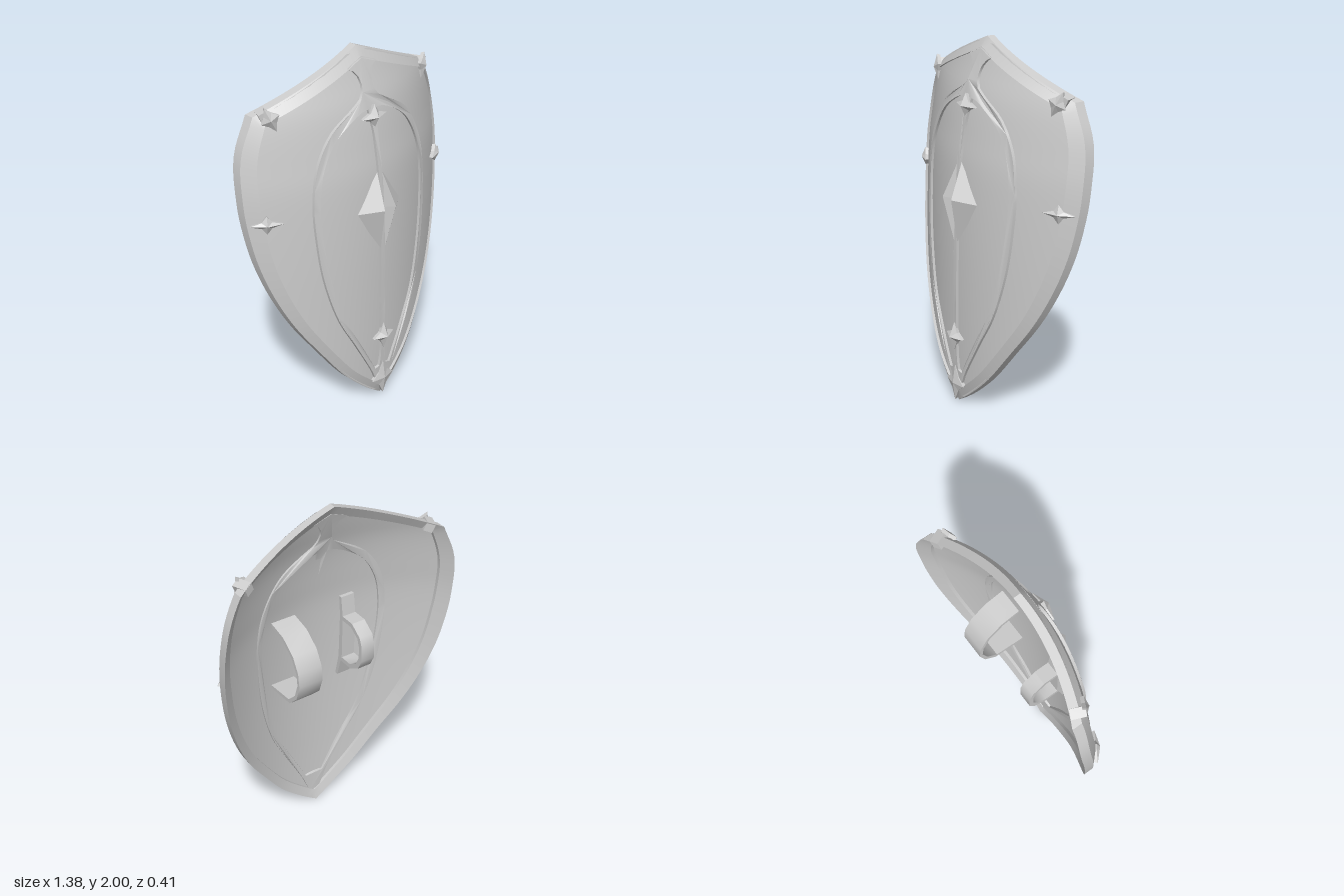
import * as THREE from 'three';
import { toCreasedNormals } from 'three/addons/utils/BufferGeometryUtils.js';

const V = (p) => new THREE.Vector2(p[0], p[1]);
const smooth = (pts, n) => new THREE.SplineCurve(pts.map(V)).getSpacedPoints(n);
const mirror = (pts) => pts.map((p) => new THREE.Vector2(-p.x, p.y)).reverse();

// Linear interpolation in rows of [key, value], keys ascending
function lookup(rows, k) {
  for (let i = 1; i < rows.length; i++) {
    const [a, va] = rows[i - 1], [b, vb] = rows[i];
    if (k <= b) return va + (vb - va) * Math.max(0, (k - a) / (b - a));
  }
  return rows[rows.length - 1][1];
}

// Half outline from bottom tip up to the shoulder, then to the peak
const side = smooth([[0, 0], [0.11, 0.085], [0.245, 0.22], [0.38, 0.41], [0.5, 0.6], [0.59, 0.8],
  [0.65, 1.0], [0.682, 1.2], [0.69, 1.35], [0.682, 1.5], [0.655, 1.62], [0.592, 1.76]], 48);
const crown = smooth([[0.592, 1.76], [0.46, 1.815], [0.25, 1.9], [0, 2]], 16);
const half = [...side, ...crown.slice(1)];
const outline = [...half, ...mirror(half).slice(1, -1)];
const widthRows = half.map((p) => [p.y, p.x]);
const halfWidth = (y) => lookup(widthRows, y);

// Curved front surface of the shield
const spine = smooth([[0, 0.16], [0.4, 0.165], [0.9, 0.16], [1.3, 0.142], [1.5, 0.115],
  [1.7, 0.076], [1.85, 0.025], [2, -0.025]], 60).map((p) => [p.x, p.y]);
const surfaceZ = (x, y) => lookup(spine, y) - 0.51 * x * x;

function reshape(geo, rule) {
  const p = geo.attributes.position;
  for (let i = 0; i < p.count; i++) p.setXYZ(i, ...rule(p.getX(i), p.getY(i), p.getZ(i)));
  geo.computeVertexNormals();
  return geo;
}

// Rim: four-cornered section carried round the outline
function rimGeometry() {
  const rimWidth = [[0, 0.05], [0.4, 0.046], [1.2, 0.06], [1.6, 0.055], [1.78, 0.045], [2, 0.055]];
  const rimDepth = [[0, 0.05], [1.76, 0.054], [2, 0.04]];
  const verts = [], index = [], n = outline.length;
  const inward = (a, b) => new THREE.Vector2(a.y - b.y, b.x - a.x).normalize();
  outline.forEach((p, i) => {
    const n1 = inward(outline[(i + n - 1) % n], p), n2 = inward(p, outline[(i + 1) % n]);
    const miter = n1.clone().add(n2).divideScalar(1 + n1.dot(n2));
    const q = p.clone().addScaledVector(miter, lookup(rimWidth, p.y));
    const zp = surfaceZ(p.x, p.y) - 0.02, zq = surfaceZ(q.x, q.y);
    const depth = lookup(rimDepth, p.y);
    verts.push(p.x, p.y, zp, q.x, q.y, zq, q.x, q.y, zq - depth - 0.006, p.x, p.y, zp - depth);
    for (let k = 0; k < 4; k++) {
      const j = (i + 1) % n, l = (k + 1) % 4;
      const a = i * 4 + k, b = j * 4 + k, c = j * 4 + l, d = i * 4 + l;
      index.push(a, b, c, a, c, d);
    }
  });
  const geo = new THREE.BufferGeometry();
  geo.setAttribute('position', new THREE.Float32BufferAttribute(verts, 3));
  geo.setIndex(index);
  return toCreasedNormals(geo, 0.5);
}

export function createModel() {
  const model = new THREE.Group();
  const smoothMat = new THREE.MeshStandardMaterial({ color: 0xcccccc, side: THREE.DoubleSide });
  const flatMat = new THREE.MeshStandardMaterial({ color: 0xcccccc, side: THREE.DoubleSide, flatShading: true });
  const add = (name, geo, mat) => {
    const mesh = new THREE.Mesh(geo, mat);
    mesh.name = name;
    model.add(mesh);
    return mesh;
  };

  add('rim', rimGeometry(), smoothMat);

  // Front and back skins of the recessed plate, held by the rim
  for (const [name, recess] of [['plateFront', 0.016], ['plateBack', 0.04]])
    add(name, reshape(new THREE.PlaneGeometry(2, 2, 28, 56), (u, v) => {
      const y = 0.04 + (v + 1) * 0.965, x = u * halfWidth(y) * 0.96;
      return [x, y, surfaceZ(x, y) - recess];
    }), smoothMat);

  // Teardrop band with central ridge and a flared neck joining the rim
  const bandEdge = smooth([[0.03, 0.07], [0.06, 0.14], [0.085, 0.2], [0.19, 0.4], [0.29, 0.6],
    [0.36, 0.85], [0.39, 1.1], [0.392, 1.3], [0.355, 1.48], [0.26, 1.63], [0.12, 1.72], [0.06, 1.755],
    [0.034, 1.81], [0.05, 1.875], [0.1, 1.91]], 54);
  const innerPanel = [
    ...smooth([[0.03, 1.7], [0.1, 1.685], [0.24, 1.595], [0.325, 1.46], [0.36, 1.3], [0.358, 1.1],
      [0.325, 0.85], [0.26, 0.6], [0.16, 0.4], [0.055, 0.19]], 44),
    ...smooth([[0.025, 0.2], [0.013, 0.3], [0.013, 0.6], [0.013, 1.1], [0.013, 1.55], [0.022, 1.64]], 32),
  ];
  const bandShape = new THREE.Shape([...bandEdge, V([0, 1.95]), ...mirror(bandEdge)]);
  bandShape.holes.push(new THREE.Path(innerPanel), new THREE.Path(mirror(innerPanel)));
  const band = new THREE.ExtrudeGeometry(bandShape, { depth: 1, bevelEnabled: false });
  reshape(band, (x, y, z) => {
    const onRidge = Math.abs(x) < 0.03 && y > 0.18 && y < 1.68;
    return [x, y, surfaceZ(x, y) - 0.001 - (1 - z) * (onRidge ? 0.025 : 0.05)];
  });
  add('bandAndRidge', toCreasedNormals(band, 0.6), smoothMat);

  // Four-pointed star studs with a short skirt behind
  const stud = (name, x, y, rx, ry, height, skirt, turn = 0, waist = 0.45) => {
    const profile = [[0.9, -skirt], [1, 0.004], [0, height]].map(V);
    const geo = new THREE.LatheGeometry(profile, 8).rotateX(Math.PI / 2);
    reshape(geo, (px, py, pz) => {
      const pinch = Math.abs(px * py) > 0.01 ? waist : 1;
      return [px * rx * pinch, py * ry * pinch, pz];
    });
    const mesh = add(name, geo, flatMat);
    mesh.position.set(x, y, surfaceZ(x, y));
    mesh.rotation.set(0, Math.atan(1.02 * x), turn, 'YXZ');
  };
  stud('topStud', 0, 1.66, 0.085, 0.065, 0.035, 0.015);
  stud('lowerStud', 0, 0.395, 0.075, 0.08, 0.035, 0.015);
  stud('tipStud', 0, 0.115, 0.078, 0.105, 0.02, 0.03, 0, 0.55);
  for (const s of [-1, 1]) {
    stud('sideStud', s * 0.612, 1.225, 0.085, 0.05, 0.025, 0.015);
    stud('cornerStud', s * 0.532, 1.748, 0.05, 0.07, 0.025, 0.015, -s * 0.45, 0.6);
    // Clasp that wraps the rim behind each corner stud
    const clasp = add('cornerClasp', new THREE.BoxGeometry(0.05, 0.05, 0.075), flatMat);
    clasp.position.set(s * 0.54, 1.762, surfaceZ(0.54, 1.762) - 0.036);
    clasp.rotation.set(0, s * 0.4, -s * 0.4, 'YXZ');
  }

  // Central boss: two faceted half diamonds with a groove between
  for (const s of [-1, 1]) {
    const ring = [[0.016, 1.37, 0.125], [0.012, 1.17, 0.15], [0.016, 0.94, 0.155], [0.16, 1.17, 0.115]];
    const apex = [0.04, 1.185, 0.207];
    const verts = [];
    ring.forEach((p, i) => {
      const q = ring[(i + 1) % 4];
      for (const v of s > 0 ? [apex, p, q] : [apex, q, p]) verts.push(s * v[0], v[1], v[2]);
    });
    const geo = new THREE.BufferGeometry();
    geo.setAttribute('position', new THREE.Float32BufferAttribute(verts, 3));
    geo.computeVertexNormals();
    add(s > 0 ? 'bossLeft' : 'bossRight', geo, flatMat);
  }

  // Back straps: profile [depth behind z = 0, height], extruded sideways
  const strap = (name, x, width, contour, holes) => {
    const shape = new THREE.Shape(contour.map(V));
    shape.holes = holes.map((h) => new THREE.Path(h.map(V)));
    const geo = new THREE.ExtrudeGeometry(shape, { depth: width, bevelEnabled: false });
    geo.rotateY(Math.PI / 2).translate(x - width / 2, 0, 0);
    add(name, toCreasedNormals(geo, 0.6), smoothMat);
  };
  strap('armStrap', 0.22, 0.14,
    [[-0.05, 1.37], [0.06, 1.345], [0.15, 1.28], [0.195, 1.2], [0.205, 1.12], [0.175, 1.03], [0.11, 0.965], [-0.07, 0.95],
      [-0.07, 0.97], [0.1, 0.985], [0.16, 1.045], [0.187, 1.125], [0.178, 1.19], [0.135, 1.265], [0.05, 1.325], [-0.05, 1.35]], []);
  // Grip: closed loop with a tab at each end
  strap('handGrip', -0.17, 0.08,
    [[-0.04, 1.38], [-0.025, 1.27], [0.06, 1.27], [0.13, 1.22], [0.15, 1.17], [0.15, 1.08], [0.12, 1.02],
      [0.05, 0.98], [-0.04, 0.98], [-0.07, 0.87], [-0.09, 0.87], [-0.06, 1.0], [-0.05, 1.27], [-0.06, 1.38]],
    [[[-0.025, 1.245], [0.05, 1.245], [0.11, 1.205], [0.125, 1.16], [0.125, 1.09], [0.1, 1.04], [0.045, 1.005],
      [-0.03, 1.005]]]);

  return model;
}
